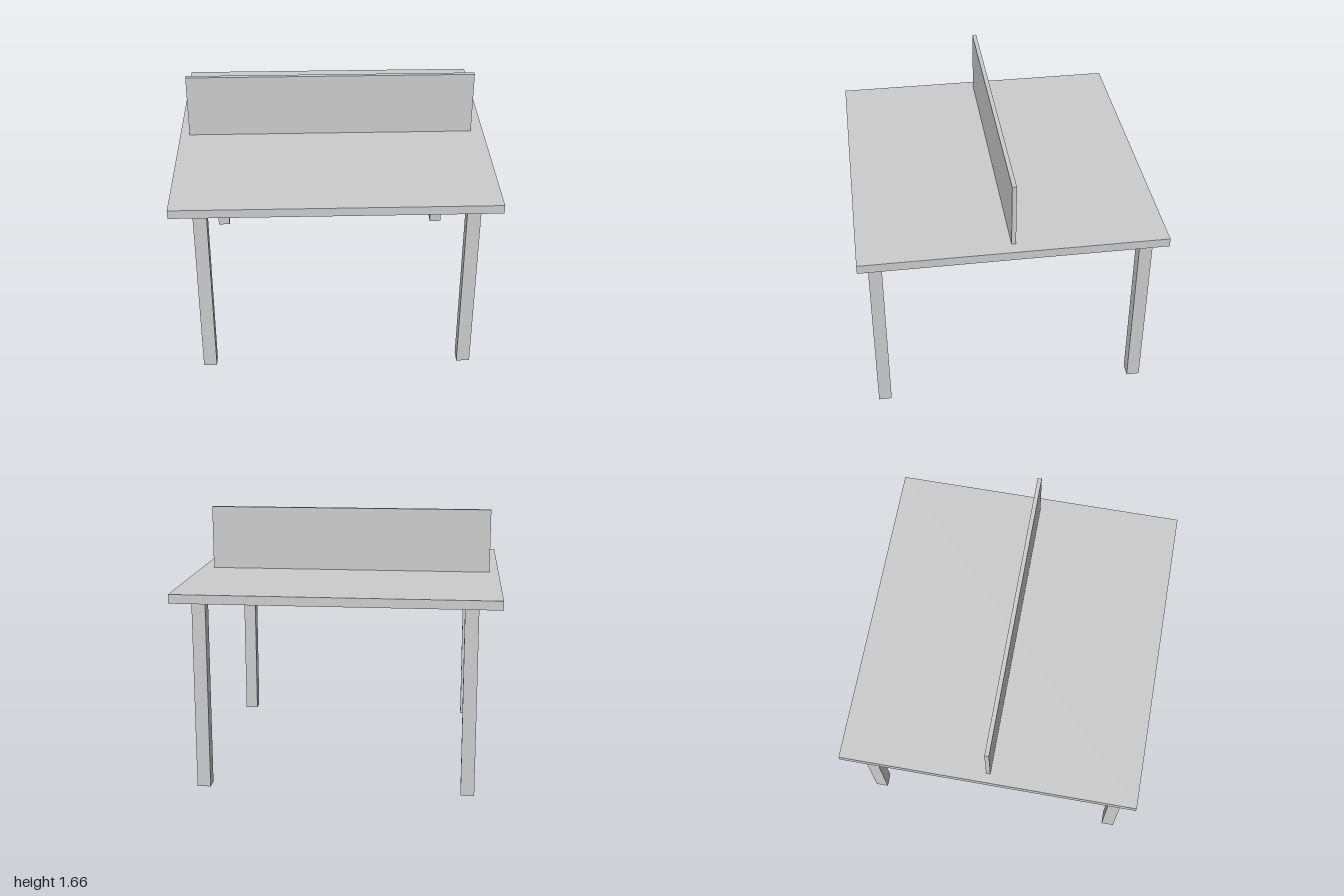
import * as THREE from 'three';

const material = new THREE.MeshStandardMaterial({ color: 0xcccccc });

// Box from its size and centre
function box(name, [w, h, d], [x, y, z]) {
  const mesh = new THREE.Mesh(new THREE.BoxGeometry(w, h, d), material);
  mesh.name = name;
  mesh.position.set(x, y, z);
  return mesh;
}

export function createModel() {
  const group = new THREE.Group();
  group.name = 'dividedTable';

  const legHeight = 1.187, topThickness = 0.056, panelHeight = 0.415;
  const topY = legHeight + topThickness;

  // Table top and the upright divider standing on it
  group.add(box('tableTop', [2, topThickness, 1.87], [0, legHeight + topThickness / 2, 0]));
  group.add(box('dividerPanel', [1.86, panelHeight, 0.027], [-0.01, topY + panelHeight / 2, 0]));

  // Four square legs, the right pair set in slightly further
  for (const [side, x] of [['Right', -0.818], ['Left', 0.832]]) {
    for (const [end, z] of [['front', 0.83], ['back', -0.83]]) {
      group.add(box(`${end}${side}Leg`, [0.084, legHeight, 0.082], [x, legHeight / 2, z]));
    }
  }
  return group;
}
